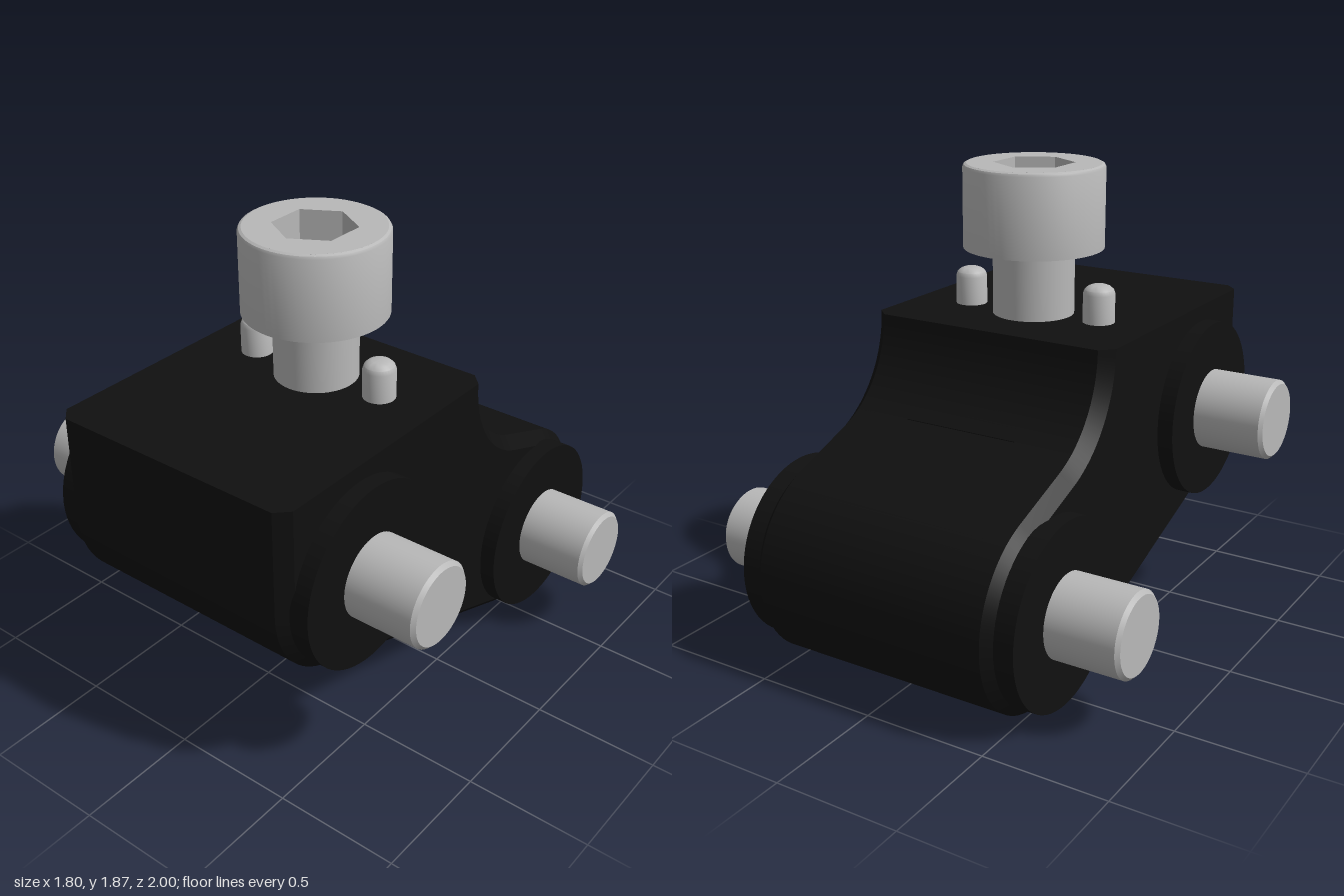
import * as THREE from 'three';
import { toCreasedNormals } from 'three/addons/utils/BufferGeometryUtils.js';

const TOP = 1.27, HALF = 0.54, CHAMFER = 0.05;
const FRONT = { z: 0.6, y: 0.84 }, BACK = { z: -0.6, y: 0.4 };
const TILT = Math.atan2(FRONT.y - BACK.y, FRONT.z - BACK.z);

// side outline of the block in (z, y), inset by c except along the flat top
function outline(c) {
  const pts = [new THREE.Vector2(1 - c, TOP)];
  const arc = (z, y, r, a0, a1, n) => {
    for (let i = 0; i <= n; i++) {
      const a = a0 + (a1 - a0) * i / n;
      pts.push(new THREE.Vector2(z + r * Math.cos(a), y + r * Math.sin(a)));
    }
  };
  const down = TILT - Math.PI / 2;
  arc(-0.61, TOP, 0.42 + c, 0, down, 20);
  arc(BACK.z, BACK.y, 0.4 - c, TILT + Math.PI / 2, down + 2 * Math.PI, 40);
  arc(FRONT.z, FRONT.y, 0.4 - c, down, 0, 20);
  return pts;
}

// block lofted across x with chamfered sides
function blockGeometry() {
  const rings = [
    [-HALF, CHAMFER], [-HALF + CHAMFER, 0], [HALF - CHAMFER, 0], [HALF, CHAMFER],
  ].map(([x, c]) => ({ x, pts: outline(c) }));
  const n = rings[0].pts.length, pos = [], idx = [];
  for (const { x, pts } of rings) for (const p of pts) pos.push(x, p.y, p.x);
  for (let k = 0; k < 3; k++) {
    for (let i = 0; i < n; i++) {
      const j = (i + 1) % n, a = k * n + i, b = k * n + j;
      idx.push(a, a + n, b, b, a + n, b + n);
    }
  }
  for (const [a, b, c] of THREE.ShapeUtils.triangulateShape(rings[0].pts, [])) {
    idx.push(a, b, c, c + 3 * n, b + 3 * n, a + 3 * n);
  }
  const g = new THREE.BufferGeometry();
  g.setAttribute('position', new THREE.Float32BufferAttribute(pos, 3));
  g.setIndex(idx);
  return toCreasedNormals(g, 0.5);
}

// turned part from (radius, height) pairs, with crisp edges
function turned(points, segments = 64) {
  const g = new THREE.LatheGeometry(points.map(([r, y]) => new THREE.Vector2(r, y)), segments);
  return toCreasedNormals(g, 0.5);
}

export function createModel() {
  const group = new THREE.Group();
  const black = new THREE.MeshStandardMaterial({ color: 0x101010 });
  black.name = 'blackBody';
  const steel = new THREE.MeshStandardMaterial({ color: 0xb8b8b8 });
  steel.name = 'steel';

  const add = (name, geometry, material, x = 0, y = 0, z = 0) => {
    const mesh = new THREE.Mesh(geometry, material);
    mesh.name = name;
    mesh.position.set(x, y, z);
    group.add(mesh);
    return mesh;
  };

  add('block', blockGeometry(), black);

  // raised side bosses and the cross pins that run through them
  const bossGeo = new THREE.CylinderGeometry(0.365, 0.365, 1.21, 64);
  const pinGeo = turned([[0, -0.9], [0.15, -0.9], [0.165, -0.885], [0.165, 0.885], [0.15, 0.9], [0, 0.9]]);
  for (const [label, c] of [['front', FRONT], ['back', BACK]]) {
    add(label + 'Boss', bossGeo, black, 0, c.y, c.z).rotation.z = Math.PI / 2;
    add(label + 'Pin', pinGeo, steel, 0, c.y, c.z).rotation.z = Math.PI / 2;
  }

  // thin mark on the concave rear face
  const mark = add('rearMark', new THREE.BoxGeometry(0.49, 0.008, 0.02), black, 0, 0.927, -0.37);
  mark.rotation.x = -0.61;

  // cap screw: shank, head shell, socketed core and conical socket floor
  const z = 0.165;
  add('screwShank', turned([[0.165, 1.2], [0.165, 1.55]]), steel, 0, 0, z);
  add('screwHead', turned([
    [0, 1.54], [0.283, 1.54], [0.283, 1.86], [0.278, 1.87], [0.268, 1.875],
  ]), steel, 0, 0, z);

  const disc = new THREE.Shape().absarc(0, 0, 0.268, 0, Math.PI * 2, false);
  const hex = new THREE.Path();
  hex.setFromPoints(Array.from({ length: 6 }, (_, i) => {
    const a = Math.PI / 2 - i * Math.PI / 3;
    return new THREE.Vector2(0.162 * Math.cos(a), 0.162 * Math.sin(a));
  }));
  hex.closePath();
  disc.holes.push(hex);
  const core = new THREE.ExtrudeGeometry(disc, { depth: 0.17, bevelEnabled: false, curveSegments: 64 });
  add('screwSocket', core, steel, 0, 1.705, z).rotation.x = -Math.PI / 2;
  add('socketFloor', turned([[0.18, 1.71], [0.14, 1.71], [0, 1.63]]), steel, 0, 0, z);

  // locating dowels either side of the screw
  const dowelGeo = turned([
    [0.064, 1.2], [0.064, 1.385], [0.058, 1.402], [0.045, 1.414], [0.03, 1.42], [0, 1.42],
  ], 32);
  for (const side of [-1, 1]) {
    add(side > 0 ? 'leftDowel' : 'rightDowel', dowelGeo, steel, side * 0.3, 0, z);
  }
  return group;
}
